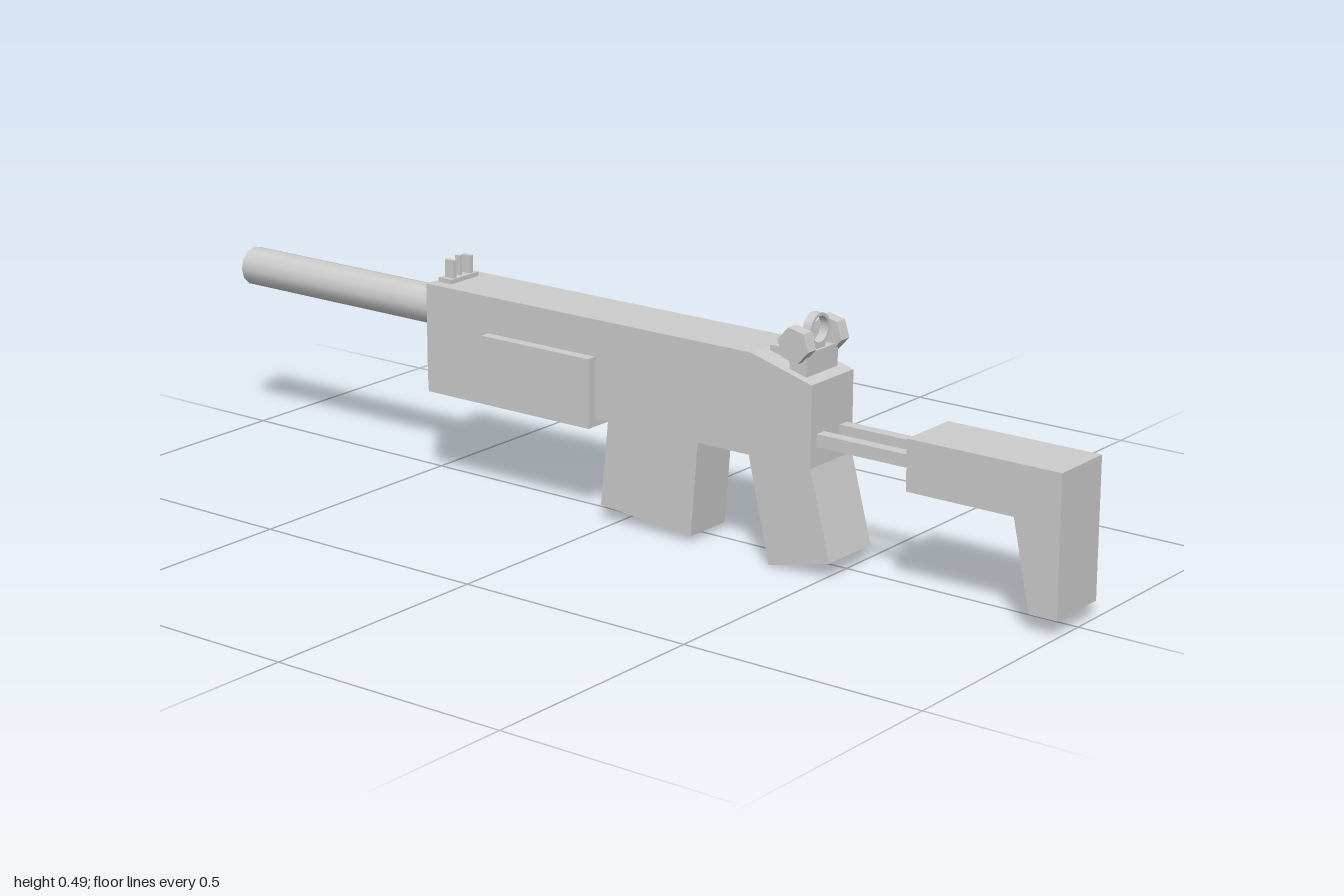
import * as THREE from 'three';

const MID = -0.008; // centre plane of the body
const HALF = 0.067; // half width of the body

export function createModel() {
  const model = new THREE.Group();
  const grey = new THREE.MeshStandardMaterial({ color: 0xcccccc });

  function add(name, geometry) {
    const mesh = new THREE.Mesh(geometry, grey);
    mesh.name = name;
    model.add(mesh);
    return mesh;
  }

  // Box given by its limits on each axis
  function box(name, [x0, x1], [y0, y1], [z0, z1]) {
    const mesh = add(name, new THREE.BoxGeometry(x1 - x0, y1 - y0, z1 - z0));
    mesh.position.set((x0 + x1) / 2, (y0 + y1) / 2, (z0 + z1) / 2);
    return mesh;
  }

  // Side profile of [z, y] points, extruded from x0 to x1
  const outline = (points) => points.map(([z, y]) => new THREE.Vector2(-z, y));
  function slab(name, points, x0, x1, hole) {
    const shape = new THREE.Shape(outline(points));
    if (hole) shape.holes.push(new THREE.Path(outline(hole)));
    const geometry = new THREE.ExtrudeGeometry(shape, { depth: x1 - x0, bevelEnabled: false });
    geometry.rotateY(Math.PI / 2).translate(x0, 0, 0);
    return add(name, geometry);
  }

  // Receiver and grip share one profile; the outer layer has the bolt slot cut out
  const receiver = [
    [-0.465, 0.405], [0.33, 0.405], [0.467, 0.367], [0.467, 0.207],
    [0.513, 0.033], [0.375, 0], [0.327, 0.207], [-0.465, 0.207],
  ];
  const slot = [[0.23, 0.334], [0.052, 0.334], [0.052, 0.386], [0.23, 0.386]];
  const slotFloor = MID + HALF - 0.025;
  slab('receiver', receiver, MID - HALF, slotFloor);
  slab('receiverSlotSide', receiver, slotFloor, MID + HALF, slot);
  box('boltHandle', [slotFloor, 0.095], [0.338, 0.378], [0.054, 0.084]);

  // Magazine
  slab('magazine', [
    [0.2, 0.215], [0.183, 0.012], [-0.035, 0.03], [-0.016, 0.215],
  ], MID - 0.054, MID + 0.054);

  // Handguard wraps both sides and the underside
  slab('handguard', [
    [-0.037, 0.331], [-0.305, 0.331], [-0.444, 0.27], [-0.444, 0.192], [-0.037, 0.192],
  ], MID - 0.089, MID + 0.089);

  // Barrel
  const barrel = add('barrel', new THREE.CylinderGeometry(0.04, 0.04, 0.55, 12));
  barrel.rotation.x = Math.PI / 2;
  barrel.position.set(MID, 0.342, -0.725);

  // Shoulder stock on two rods
  slab('stock', [
    [1, 0.307], [0.677, 0.307], [0.677, 0.207], [0.905, 0.207], [0.942, 0.033], [1, 0.033],
  ], MID - HALF, MID + HALF);
  for (const side of [-1, 1]) {
    const x = MID + side * 0.037;
    box('stockRod', [x - 0.012, x + 0.012], [0.245, 0.27], [0.45, 0.69]);
  }

  // Rear sight: base, stem, ring and two hexagonal knobs
  box('rearSightBase', [MID - 0.05, MID + 0.05], [0.37, 0.418], [0.405, 0.443]);
  box('rearSightFoot', [MID - 0.022, MID + 0.022], [0.395, 0.412], [0.34, 0.41]);
  box('rearSightStem', [MID - 0.016, MID + 0.016], [0.415, 0.429], [0.418, 0.438]);
  const ring = new THREE.Shape().absarc(0, 0, 0.031, 0, Math.PI * 2);
  ring.holes.push(new THREE.Path().absarc(0, 0, 0.025, 0, Math.PI * 2, true));
  const ringMesh = add('rearSightRing',
    new THREE.ExtrudeGeometry(ring, { depth: 0.018, bevelEnabled: false, curveSegments: 16 }));
  ringMesh.position.set(MID, 0.454, 0.42);
  const hexagon = [];
  for (let i = 0; i < 6; i++) {
    const a = THREE.MathUtils.degToRad(48 - 60 * i);
    hexagon.push([0.423 + 0.035 * Math.cos(a), 0.434 + 0.035 * Math.sin(a)]);
  }
  for (const side of [-1, 1]) {
    const x = MID + side * 0.053;
    slab('rearSightKnob', hexagon, x - 0.013, x + 0.013);
  }

  // Front sight: base, centre post and two guard ears
  box('frontSightBase', [MID - 0.041, MID + 0.041], [0.4, 0.414], [-0.455, -0.422]);
  box('frontSightPost', [MID - 0.003, MID + 0.003], [0.41, 0.454], [-0.444, -0.432]);
  for (const side of [-1, 1]) {
    const x = MID + side * 0.025;
    box('frontSightEar', [x - 0.005, x + 0.005], [0.41, 0.45], [-0.448, -0.426]);
  }

  return model;
}
